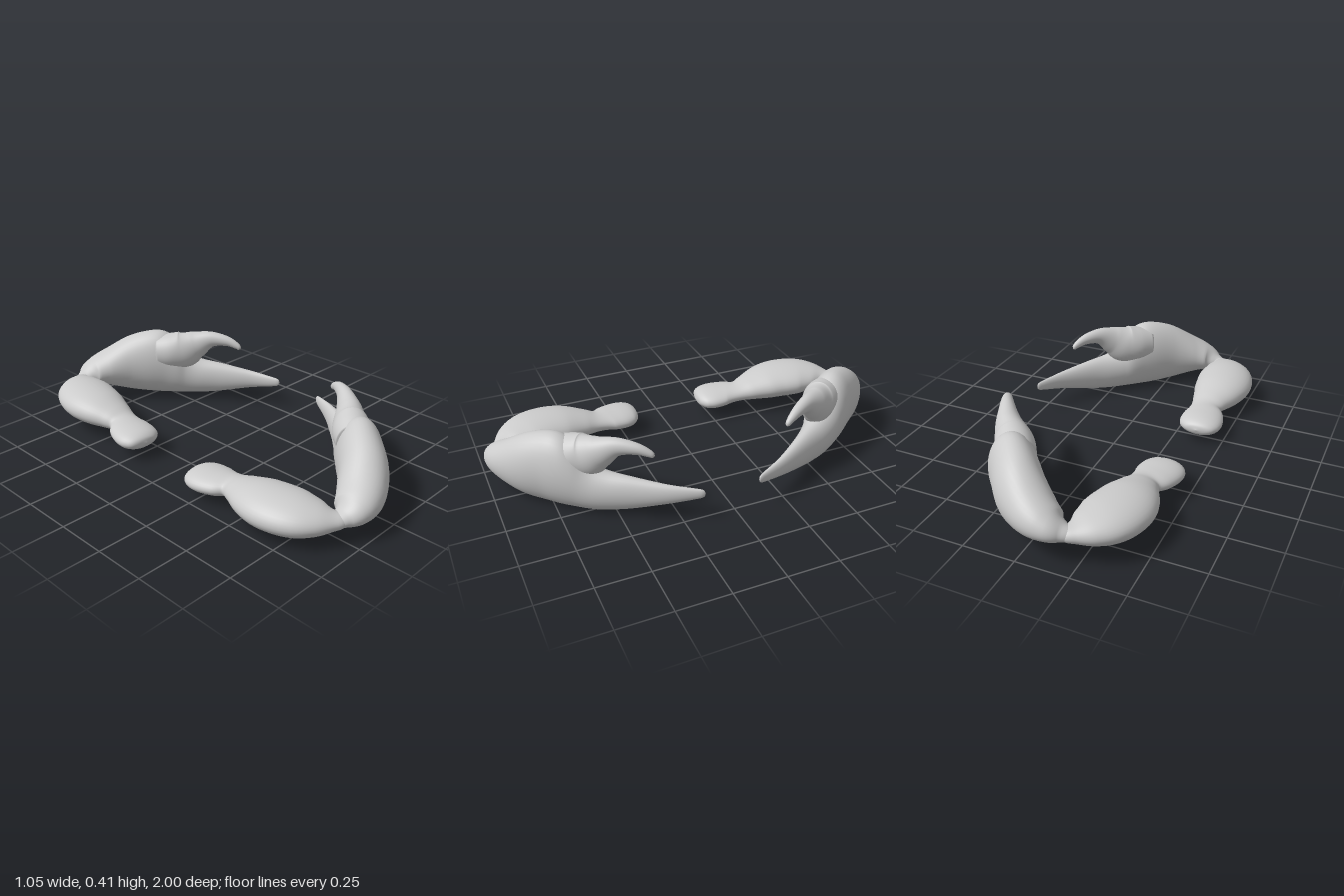
import * as THREE from 'three';

const material = new THREE.MeshStandardMaterial({ color: 0xcccccc });

// Sections: [x, y, z, half width, half height], smoothly interpolated into a closed skin.
// Upright rings stay vertical; otherwise they follow the path's slope.
function loft(sections, { steps = 72, sides = 36, upright = true } = {}) {
  const smooth = (pts) => new THREE.CatmullRomCurve3(pts, false, 'catmullrom', 0.5);
  const path = smooth(sections.map((s) => new THREE.Vector3(s[0], s[1], s[2])));
  const radii = smooth(sections.map((s) => new THREE.Vector3(s[3], s[4], 0)));
  const up = new THREE.Vector3(0, 1, 0);
  const pos = [];
  const index = [];
  for (let i = 0; i <= steps; i++) {
    const t = i / steps;
    const c = path.getPoint(t);
    const r = radii.getPoint(t);
    const dir = path.getTangent(t);
    if (upright) dir.setY(0).normalize();
    const side = dir.clone().cross(up).normalize();
    const rise = side.clone().cross(dir);
    for (let j = 0; j < sides; j++) {
      const a = (j / sides) * Math.PI * 2;
      const p = c.clone()
        .addScaledVector(side, Math.cos(a) * Math.max(r.x, 0.001))
        .addScaledVector(rise, Math.sin(a) * Math.max(r.y, 0.001));
      pos.push(p.x, p.y, p.z);
      if (i < steps) {
        const k = (j + 1) % sides;
        const p0 = i * sides + j, p1 = i * sides + k;
        index.push(p0, p0 + sides, p1, p1, p0 + sides, p1 + sides);
      }
    }
  }
  // End caps
  for (const [t, row] of [[0, 0], [1, steps]]) {
    const c = path.getPoint(t);
    const tip = pos.length / 3;
    pos.push(c.x, c.y, c.z);
    for (let j = 0; j < sides; j++) {
      const a = row * sides + j, b = row * sides + ((j + 1) % sides);
      if (row) index.push(tip, b, a);
      else index.push(tip, a, b);
    }
  }
  const geo = new THREE.BufferGeometry();
  geo.setAttribute('position', new THREE.Float32BufferAttribute(pos, 3));
  geo.setIndex(index);
  return geo;
}

// Knob and swollen arm segment, ending in a thin wrist
const ARM = [
  [-0.38, 0.085, 0.159, 0.002, 0.002],
  [-0.38, 0.085, 0.17, 0.062, 0.026],
  [-0.38, 0.084, 0.2, 0.096, 0.043],
  [-0.378, 0.084, 0.25, 0.109, 0.05],
  [-0.37, 0.087, 0.32, 0.101, 0.048],
  [-0.357, 0.092, 0.385, 0.077, 0.045],
  [-0.36, 0.1, 0.45, 0.096, 0.058],
  [-0.371, 0.108, 0.55, 0.133, 0.077],
  [-0.375, 0.111, 0.65, 0.149, 0.083],
  [-0.355, 0.111, 0.75, 0.142, 0.079],
  [-0.32, 0.109, 0.83, 0.106, 0.063],
  [-0.287, 0.107, 0.88, 0.062, 0.042],
  [-0.255, 0.107, 0.903, 0.042, 0.032],
  [-0.2, 0.11, 0.91, 0.02, 0.02],
];

// Deep palm narrowing into the long fixed finger
const PALM = [
  [-0.315, 0.105, 0.888, 0.004, 0.004],
  [-0.29, 0.106, 0.896, 0.03, 0.027],
  [-0.25, 0.114, 0.907, 0.05, 0.04],
  [-0.195, 0.132, 0.912, 0.086, 0.068],
  [-0.11, 0.148, 0.89, 0.104, 0.104],
  [0, 0.17, 0.824, 0.111, 0.157],
  [0.09, 0.184, 0.738, 0.108, 0.181],
  [0.145, 0.18, 0.686, 0.104, 0.178],
  [0.19, 0.157, 0.638, 0.096, 0.152],
  [0.23, 0.126, 0.595, 0.083, 0.118],
  [0.275, 0.114, 0.54, 0.07, 0.1],
  [0.345, 0.118, 0.446, 0.049, 0.083],
  [0.44, 0.131, 0.305, 0.027, 0.05],
  [0.5, 0.14, 0.19, 0.013, 0.027],
  [0.514, 0.142, 0.162, 0.007, 0.018],
  [0.517, 0.142, 0.154, 0.001, 0.002],
];

// Hooked moving finger, rooted inside the palm
const FINGER = [
  [0.095, 0.25, 0.7, 0.08, 0.09],
  [0.15, 0.26, 0.647, 0.09, 0.1],
  [0.2, 0.27, 0.597, 0.08, 0.105],
  [0.25, 0.306, 0.55, 0.06, 0.077],
  [0.3, 0.345, 0.486, 0.037, 0.044],
  [0.35, 0.346, 0.414, 0.025, 0.028],
  [0.38, 0.327, 0.365, 0.016, 0.018],
  [0.388, 0.313, 0.35, 0.01, 0.011],
  [0.39, 0.308, 0.346, 0.001, 0.001],
];

// Place a part, turning its faces outward again when it is mirrored
function addPart(group, name, geo, matrix) {
  geo.applyMatrix4(matrix);
  if (matrix.determinant() < 0) {
    const ix = geo.index.array;
    for (let i = 0; i < ix.length; i += 3) [ix[i], ix[i + 1]] = [ix[i + 1], ix[i]];
  }
  geo.computeVertexNormals();
  const mesh = new THREE.Mesh(geo, material);
  mesh.name = name;
  group.add(mesh);
}

function createPincer(name, matrix) {
  const pincer = new THREE.Group();
  pincer.name = name;
  addPart(pincer, 'arm', loft(ARM), matrix);
  addPart(pincer, 'palmAndFixedFinger', loft(PALM, { steps: 90 }), matrix);
  addPart(pincer, 'movingFinger', loft(FINGER, { upright: false, steps: 56 }), matrix);
  return pincer;
}

export function createModel() {
  const model = new THREE.Group();
  model.name = 'pincers';
  model.add(createPincer('frontPincer', new THREE.Matrix4()));
  // The rear pincer is mirrored, slightly turned and tilted up at its outer side
  const rear = new THREE.Matrix4().makeScale(1, 1, -1)
    .multiply(new THREE.Matrix4().makeTranslation(-0.004, 0, 0.001))
    .multiply(new THREE.Matrix4().makeRotationX(-0.045))
    .multiply(new THREE.Matrix4().makeRotationY(0.075));
  model.add(createPincer('rearPincer', rear));
  return model;
}
